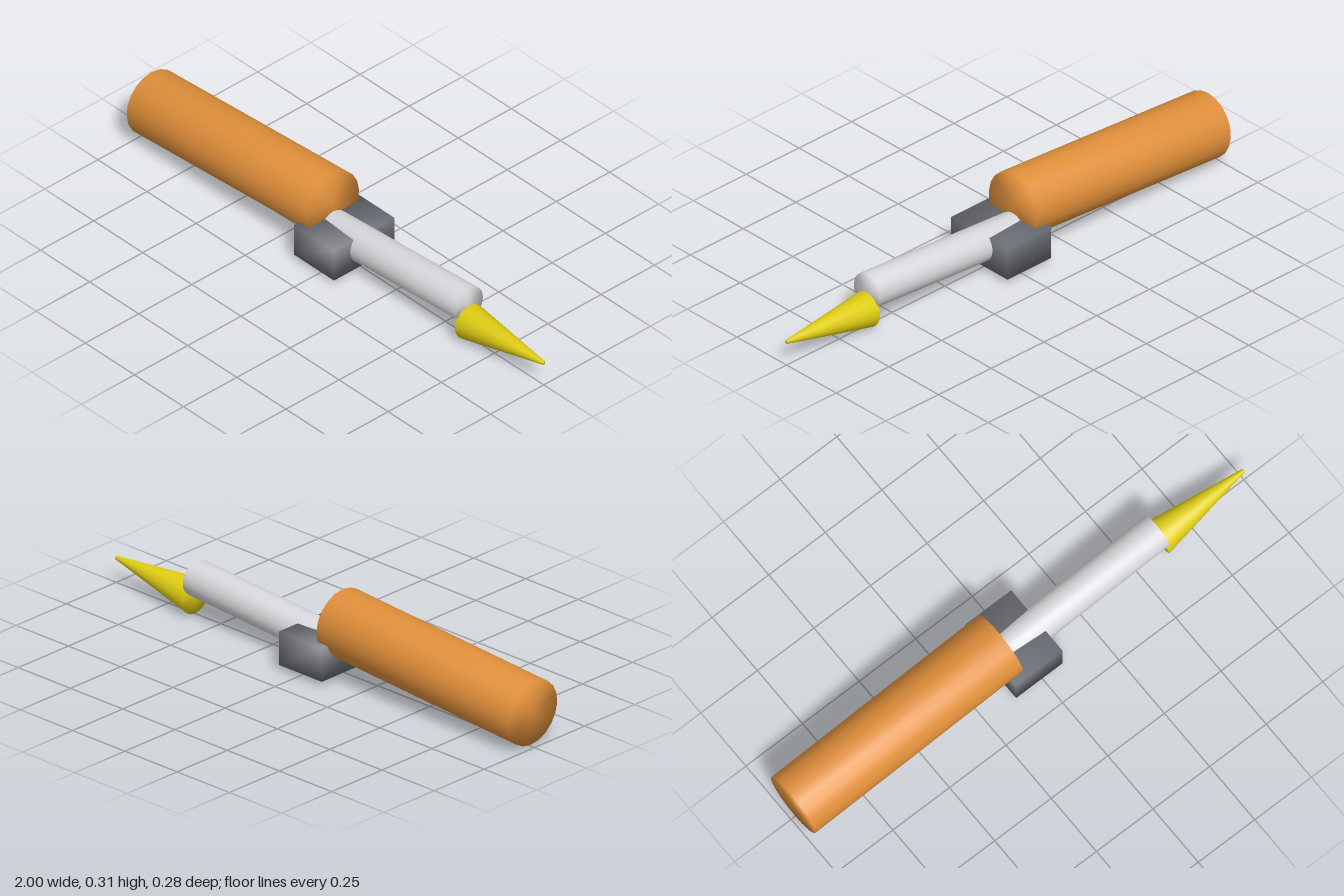
import * as THREE from 'three';
import { mergeVertices } from 'three/addons/utils/BufferGeometryUtils.js';

const mat = (name, color) => {
  const m = new THREE.MeshStandardMaterial({ color });
  m.name = name;
  return m;
};

// Share vertices across every edge so normals blend over the rims
function soften(geometry) {
  geometry.deleteAttribute('normal');
  geometry.deleteAttribute('uv');
  const g = mergeVertices(geometry, 1e-4);
  g.computeVertexNormals();
  return g;
}

// Round bar between two [x, y] points on the z = 0 plane
function bar(name, from, to, rFrom, rTo, sides, material) {
  const dx = to[0] - from[0], dy = to[1] - from[1];
  const geo = new THREE.CylinderGeometry(rTo, rFrom, Math.hypot(dx, dy), sides);
  geo.rotateY(Math.PI / 2); // a corner of the section points straight up
  const mesh = new THREE.Mesh(soften(geo), material);
  mesh.name = name;
  mesh.position.set((from[0] + to[0]) / 2, (from[1] + to[1]) / 2, 0);
  mesh.rotation.z = Math.atan2(dy, dx) - Math.PI / 2;
  return mesh;
}

export function createModel() {
  const group = new THREE.Group();
  group.name = 'handTool';

  const orange = mat('orange', 0xe08f3a);
  const silver = mat('silver', 0xd8d8dc);
  const darkGrey = mat('darkGrey', 0x686b72);
  const yellow = mat('yellow', 0xdfcd12);

  // Grip, shaft and pointed tip
  group.add(bar('handle', [-0.991, 0.13], [-0.075, 0.193], 0.123, 0.123, 20, orange));
  group.add(bar('shaft', [-0.075, 0.094], [0.618, 0.141], 0.0665, 0.0665, 20, silver));
  group.add(bar('tip', [0.619, 0.068], [1.0, 0.096], 0.0665, 0.007, 20, yellow));

  // Block-shaped guard where handle and shaft meet
  const guard = new THREE.Mesh(soften(new THREE.BoxGeometry(0.205, 0.127, 0.284)), darkGrey);
  guard.name = 'guard';
  guard.position.set(-0.017, 0.085, 0);
  group.add(guard);

  return group;
}
